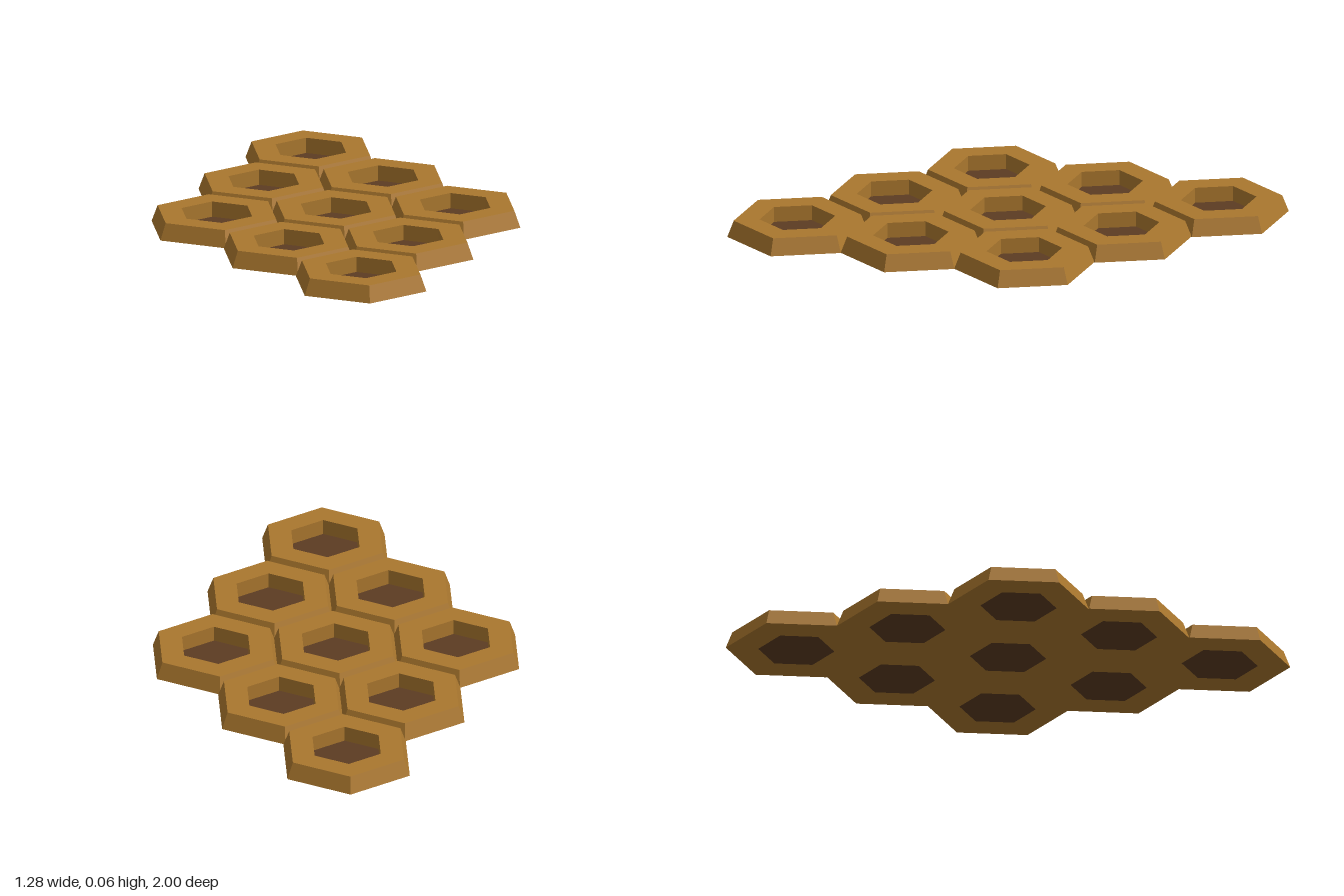
import * as THREE from 'three';

const HEIGHT = 0.06;
const OUTER = 0.25;   // corner radius at the base
const TOP = 0.227;    // corner radius of the top face
const HOLE = 0.135;   // corner radius of the well

// Split the faces so every facet is flat
function faceted(geometry) {
  const g = geometry.toNonIndexed();
  g.computeVertexNormals();
  return g;
}

export function createModel() {
  const model = new THREE.Group();
  model.name = 'honeycomb';

  const wax = new THREE.MeshStandardMaterial({ color: 0xaa772e });
  wax.name = 'honey brown';
  const dark = new THREE.MeshStandardMaterial({ color: 0x5c3c22 });
  dark.name = 'dark brown';

  // Six-sided ring: sloped outside, straight-walled well
  const profile = [[HOLE, 0], [OUTER, 0], [TOP, HEIGHT], [HOLE, HEIGHT], [HOLE, 0]]
    .map(([r, y]) => new THREE.Vector2(r, y));
  const ringGeometry = faceted(new THREE.LatheGeometry(profile, 6));

  // Thin plate closing the bottom of the well
  const floorGeometry = faceted(new THREE.CylinderGeometry(HOLE, HOLE, 0.004, 6));
  floorGeometry.translate(0, 0.002, 0);

  // Diamond of cells: rows of 1, 2, 3, 2, 1
  for (let row = -2; row <= 2; row++) {
    const count = 3 - Math.abs(row);
    for (let i = 0; i < count; i++) {
      const cell = new THREE.Group();
      cell.name = 'cell';
      const ring = new THREE.Mesh(ringGeometry, wax);
      ring.name = 'cellWall';
      const floor = new THREE.Mesh(floorGeometry, dark);
      floor.name = 'cellFloor';
      cell.add(ring, floor);
      // Rows drift very slightly sideways
      cell.position.set((i - (count - 1) / 2) * 0.424 - row * 0.0025, 0, row * 0.375);
      model.add(cell);
    }
  }
  return model;
}
